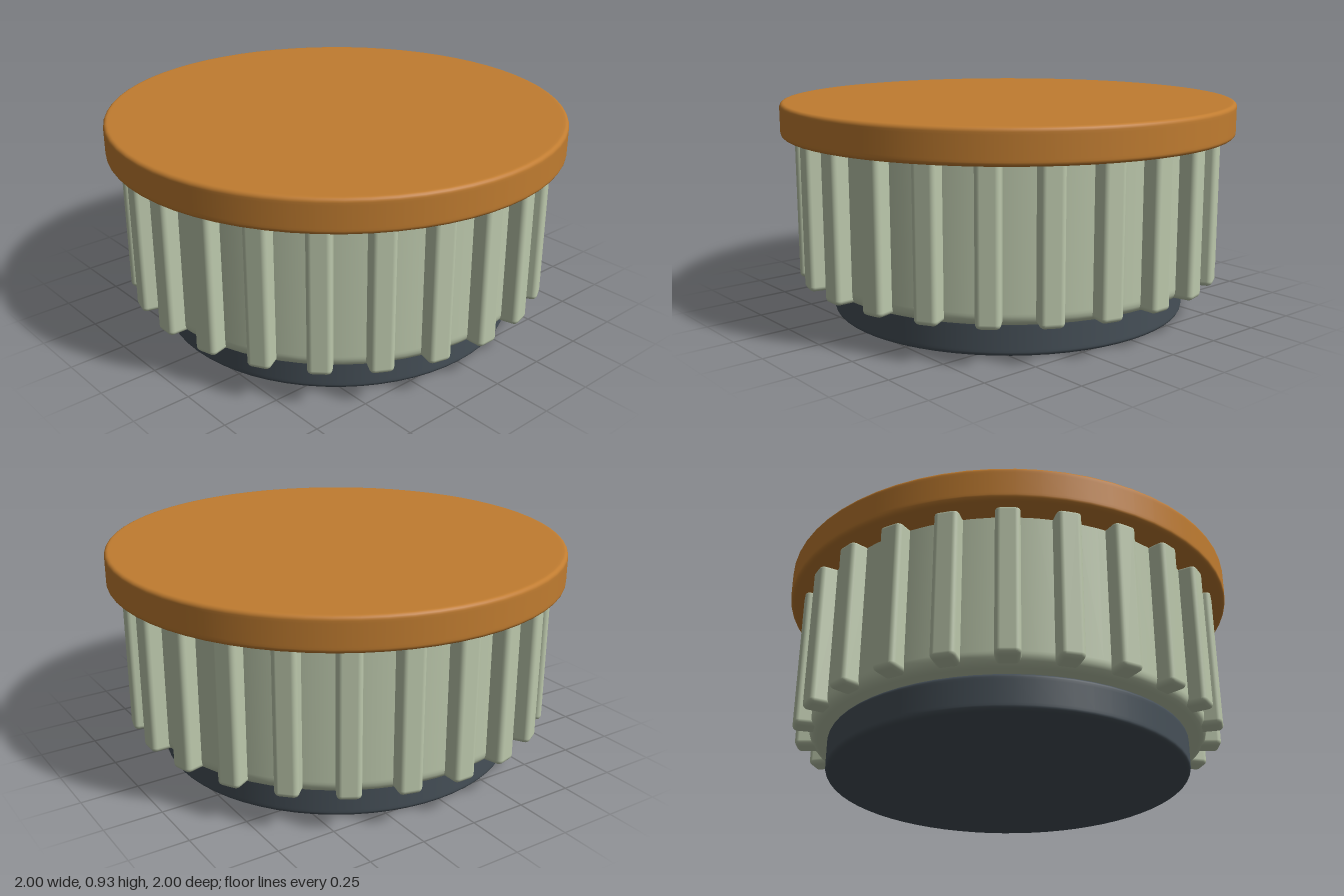
import * as THREE from 'three';
import { RoundedBoxGeometry } from 'three/addons/geometries/RoundedBoxGeometry.js';

const SEGMENTS = 64;
const RIBS = 24;

// Solid disc from y0 to y1 with rounded rims (bottom radius b, top radius t)
function roundedDisc(radius, y0, y1, b, t) {
  const pts = [new THREE.Vector2(0, y0), new THREE.Vector2(radius - b - 0.01, y0)];
  const steps = 5;
  for (let i = 0; i <= steps; i++) {
    const a = (i / steps) * Math.PI / 2;
    pts.push(new THREE.Vector2(radius - b + b * Math.sin(a), y0 + b - b * Math.cos(a)));
  }
  pts.push(new THREE.Vector2(radius, y0 + b + 0.01), new THREE.Vector2(radius, y1 - t - 0.01));
  for (let i = 0; i <= steps; i++) {
    const a = (i / steps) * Math.PI / 2;
    pts.push(new THREE.Vector2(radius - t + t * Math.cos(a), y1 - t + t * Math.sin(a)));
  }
  pts.push(new THREE.Vector2(radius - t - 0.01, y1), new THREE.Vector2(0, y1));
  return new THREE.LatheGeometry(pts, SEGMENTS);
}

export function createModel() {
  const amber = new THREE.MeshStandardMaterial({ name: 'amber', color: 0xc07c30 });
  const sage = new THREE.MeshStandardMaterial({ name: 'sage green', color: 0xbcc8ac });
  const slate = new THREE.MeshStandardMaterial({ name: 'dark slate', color: 0x465058 });

  const model = new THREE.Group();
  model.name = 'ribbedKnob';
  const add = (parent, name, geometry, material) => {
    const mesh = new THREE.Mesh(geometry, material);
    mesh.name = name;
    parent.add(mesh);
    return mesh;
  };

  // Base, drum and overhanging cap
  add(model, 'base', roundedDisc(0.79, 0, 0.15, 0.018, 0.018), slate);
  add(model, 'drum', roundedDisc(0.87, 0.145, 0.8, 0.045, 0.01), sage);
  add(model, 'cap', roundedDisc(1, 0.785, 0.93, 0.018, 0.018), amber);

  // Grip ribs around the drum
  const ribs = new THREE.Group();
  ribs.name = 'gripRibs';
  model.add(ribs);
  const ribGeometry = new RoundedBoxGeometry(0.1, 0.645, 0.12, 3, 0.022);
  for (let i = 0; i < RIBS; i++) {
    const a = (i / RIBS) * Math.PI * 2;
    const rib = add(ribs, 'gripRib', ribGeometry, sage);
    rib.position.set(0.88 * Math.sin(a), 0.4775, 0.88 * Math.cos(a));
    rib.rotation.y = a;
  }
  return model;
}
